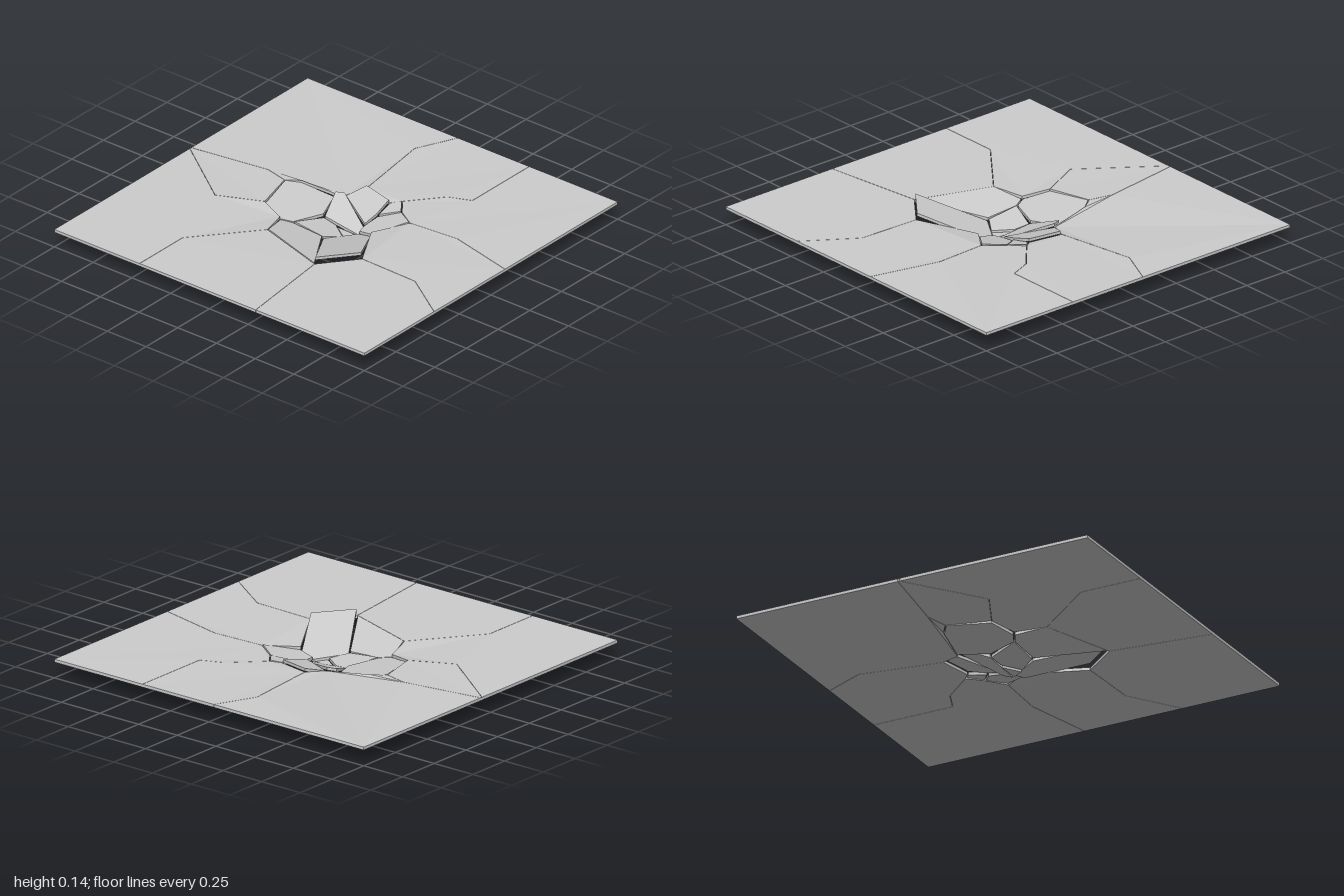
import * as THREE from 'three';

const THICKNESS = 0.016;

// Corners [x, z] of the crater's rim and of its broken middle, both running from the back towards +x
const rim = [[-0.07, -0.33], [0.11, -0.29], [0.16, -0.33], [0.22, -0.25], [0.33, -0.18], [0.21, -0.02], [0.38, 0.26],
  [0.23, 0.45], [-0.18, 0.32], [-0.23, 0.16], [-0.37, 0.11], [-0.43, -0.12], [-0.36, -0.17], [-0.17, -0.2], [-0.12, -0.22]];
const core = [[0.12, -0.18], [0.11, -0.09], [0.12, -0.03], [0.02, 0.13], [-0.17, 0.13], [-0.11, -0.04],
  [-0.02, -0.03], [0.08, 0.04]];

// Cracks running from a rim corner out to the slab's border
const cracks = [
  { start: 0, path: [[-0.13, -0.78], [-0.03, -1]] },
  { start: 2, path: [[0.31, -0.5], [0.43, -0.55], [0.43, -1]] },
  { start: 4, path: [[0.62, -0.2], [1, -0.11]] },
  { start: 6, path: [[0.73, 0.27], [1, 0.45]] },
  { start: 7, path: [[0.3, 1]] },
  { start: 8, path: [[-0.45, 0.66], [-0.45, 1]] },
  { start: 10, path: [[-0.6, 0.22], [-1, -0.07]] },
  { start: 11, path: [[-0.56, -0.15], [-1, -0.08]] },
];

// Rim corners from one index to another, wrapping past the end
function rimSpan(from, to) {
  const count = (to - from + rim.length) % rim.length + 1;
  return Array.from({ length: count }, (_, i) => rim[(from + i) % rim.length]);
}

// Pulls every side of a clockwise outline inwards, leaving the slab's border in place
function inset(points, gap) {
  const n = points.length;
  const sideNormal = (p, q) => {
    const length = Math.hypot(q[0] - p[0], q[1] - p[1]);
    return [(p[1] - q[1]) / length, (q[0] - p[0]) / length];
  };
  return points.map((p, i) => {
    const a = sideNormal(points[(i + n - 1) % n], p);
    const b = sideNormal(p, points[(i + 1) % n]);
    const k = gap / Math.max(0.3, 1 + a[0] * b[0] + a[1] * b[1]);
    return p.map((v, c) => (Math.abs(v) === 1 ? v : v + k * (a[c] + b[c])));
  });
}

// A piece of slab over an outline, its top following height(x, z)
function slabPiece(name, points, gap, height, material) {
  const outline = inset(points, gap).map(([x, z]) => new THREE.Vector2(x, -z));
  const geometry = new THREE.ExtrudeGeometry(new THREE.Shape(outline), { depth: THICKNESS, bevelEnabled: false });
  geometry.rotateX(-Math.PI / 2);
  const pos = geometry.attributes.position;
  for (let i = 0; i < pos.count; i++) {
    pos.setY(i, pos.getY(i) - THICKNESS + height(pos.getX(i), pos.getZ(i)));
  }
  geometry.computeVertexNormals();
  const mesh = new THREE.Mesh(geometry, material);
  mesh.name = name;
  return mesh;
}

// Ground plate between two neighbouring cracks, sagging slightly at the crater
function groundPlate(crack, next, material) {
  const a = crack.path.at(-1);
  const b = next.path.at(-1);
  const aOnSide = Math.abs(a[0]) === 1;
  const bOnSide = Math.abs(b[0]) === 1;
  const corner = aOnSide === bOnSide ? [] : [aOnSide ? [a[0], b[1]] : [b[0], a[1]]];
  const outline = [...crack.path, ...corner, ...next.path.toReversed(),
    ...rimSpan(crack.start, next.start).reverse()];
  const sag = (x, z) => 0.1 - 0.06 * Math.max(0, 1 - Math.hypot(x, z) / 0.4);
  return slabPiece('groundPlate', outline, 0.001, sag, material);
}

// Crater shard lying on a plane that rises away from the middle
function craterShard(name, outline, base, slope, material) {
  const centre = new THREE.Vector2();
  outline.forEach(([x, z]) => centre.add(new THREE.Vector2(x, z)));
  centre.normalize();
  const plane = (x, z) => base + slope * (x * centre.x + z * centre.y);
  return slabPiece(name, outline, 0.004, plane, material);
}

export function createModel() {
  const material = new THREE.MeshStandardMaterial({ color: 0xcccccc, flatShading: true });
  const model = new THREE.Group();
  model.name = 'crackedGround';

  // Flat ground around the crater
  const ground = new THREE.Group();
  ground.name = 'ground';
  cracks.forEach((crack, i) => ground.add(groundPlate(crack, cracks[(i + 1) % cracks.length], material)));

  // Tilted shards in the crater
  const crater = new THREE.Group();
  crater.name = 'crater';
  const pick = (...indices) => indices.map((i) => core[i]);
  const add = (name, outline, base, slope) => crater.add(craterShard(name, outline, base, slope, material));
  add('backShard', [...rimSpan(14, 1), ...pick(0, 1)], 0.02, 0.28);
  add('backLowerShard', [...rimSpan(13, 14), ...pick(1, 2, 5)], 0.016, 0.33);
  add('backRightChip', [...rimSpan(1, 3), ...pick(0)], 0.02, 0.22);
  add('rightShard', [...rimSpan(3, 5), ...pick(2, 1, 0)], 0.01, 0.25);
  add('raisedShard', [...rimSpan(5, 7), ...pick(3, 2)], 0.005, 0.285);
  add('frontShard', [...rimSpan(7, 9), ...pick(4, 3)], 0.02, 0.22);
  add('leftShard', [...rimSpan(9, 13), ...pick(5, 4)], 0.035, 0.15);
  add('centreShard', pick(7, 3, 4, 5, 6), 0.028, 0.17);
  add('centreChip', pick(6, 2, 7), 0.017, 0);

  model.add(ground, crater);
  return model;
}
